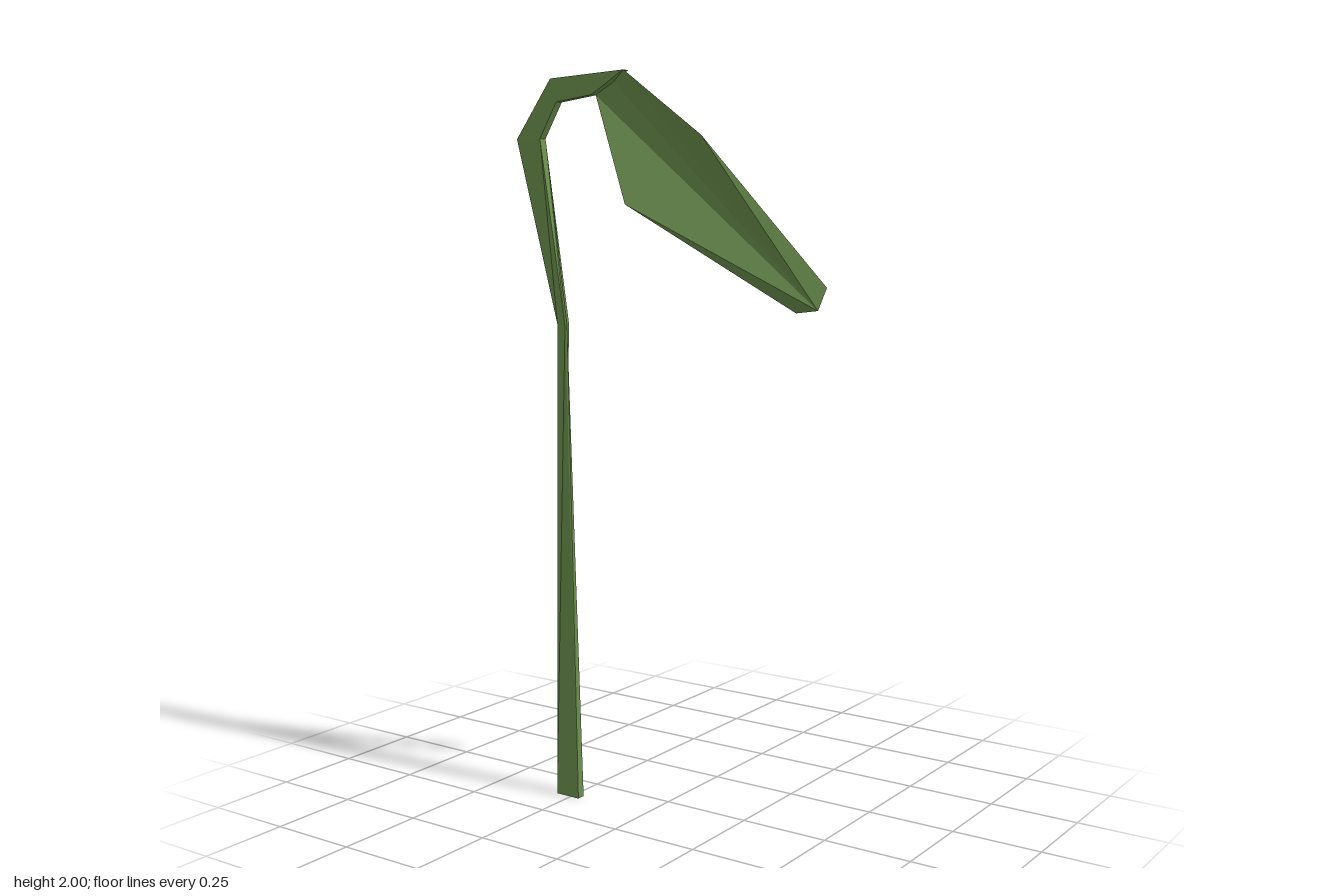
import * as THREE from 'three';

const green = new THREE.MeshStandardMaterial({ color: 0x6b8f4d, flatShading: true, side: THREE.DoubleSide });

// Flat-shaded mesh from a list of triangles, each of three [x, y, z] corners
function facetMesh(name, triangles) {
  const geometry = new THREE.BufferGeometry();
  geometry.setAttribute('position', new THREE.Float32BufferAttribute(triangles.flat(2), 3));
  geometry.computeVertexNormals();
  const mesh = new THREE.Mesh(geometry, green);
  mesh.name = name;
  return mesh;
}

// Strap cross-section: outer and inner edge, each with a front and a back corner
const BACK = 0.1, FRONT = 0.124;
const strap = (ox, oy, ix, iy) => [[ox, oy, FRONT], [ix, iy, FRONT], [ix, iy, BACK], [ox, oy, BACK]];

// Loft four-cornered sections into a closed stem
function createStem() {
  const rings = [
    strap(-0.298, 0, -0.222, 0),
    // twisted joint
    [[-0.30, 1.33, 0.10], [-0.243, 1.33, 0.139], [-0.238, 1.33, 0.136], [-0.28, 1.33, 0.074]],
    strap(-0.415, 1.83, -0.335, 1.83),
    strap(-0.298, 1.987, -0.278, 1.925),
    strap(-0.057, 2.0, -0.16, 1.94),
  ];
  const triangles = [];
  for (let i = 0; i < rings.length - 1; i++) {
    for (let j = 0; j < 4; j++) {
      const k = (j + 1) % 4;
      const a = rings[i][j], b = rings[i][k], c = rings[i + 1][k], d = rings[i + 1][j];
      if (j === 2) triangles.push([a, b, d], [b, c, d]);
      else triangles.push([a, b, c], [a, c, d]);
    }
  }
  // end caps
  const [p, q, r, s] = rings[0];
  const [t, u, v, w] = rings[rings.length - 1];
  triangles.push([p, r, q], [p, s, r], [t, u, v], [t, v, w]);
  return facetMesh('stem', triangles);
}

// Drooping folded leaf: a fan of facets that meets at the tip
function createLeaf() {
  const tip = [0.39, 1.38, -0.122];
  const rim = [
    [0.313, 1.37, -0.141],  // lower tip corner
    [-0.07, 1.655, 0.10],   // lower shoulder
    [-0.16, 1.94, 0.105],   // lower root
    [-0.105, 1.972, 0.10],  // ridge root
    [-0.057, 2.0, 0.122],   // upper root
    [0.17, 1.83, 0.10],     // upper shoulder
    [0.408, 1.44, -0.136],  // upper tip corner
  ];
  const triangles = [];
  for (let i = 0; i < rim.length - 1; i++) triangles.push([tip, rim[i + 1], rim[i]]);
  return facetMesh('leaf', triangles);
}

export function createModel() {
  const group = new THREE.Group();
  group.name = 'droopingPlant';
  group.add(createStem(), createLeaf());
  return group;
}
